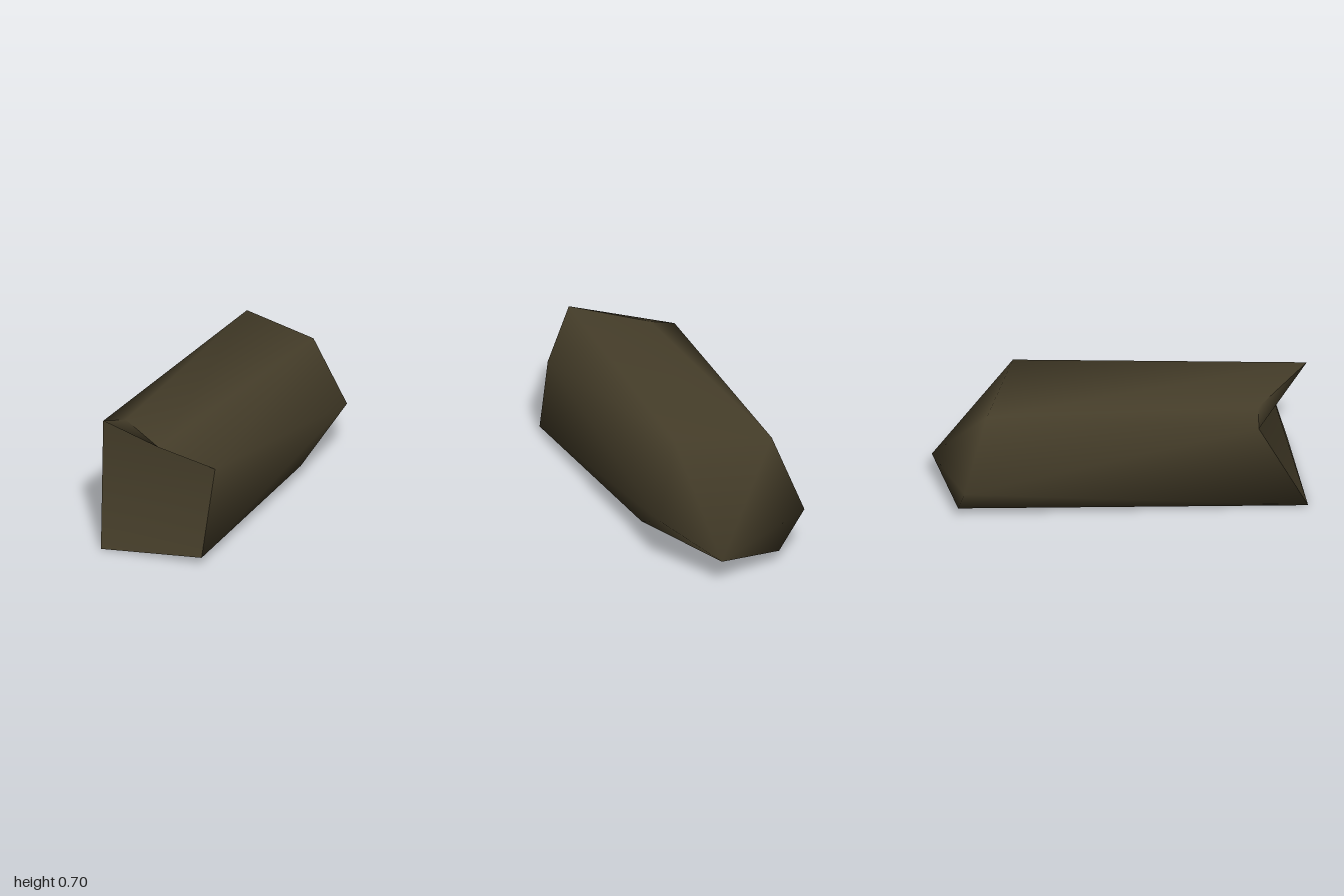
import * as THREE from 'three';

// Corner points: A-F run round the notched front, G-P round the tapered back
const corners = {
  A: [-0.38, 0.615, 0.7], B: [-0.24, 0.655, 0.71], C: [0.1, 0.685, 1.0],
  D: [0.33, 0.515, 0.785], E: [0.315, 0.045, 0.915], F: [-0.255, 0.003, 0.975],
  G: [-0.38, 0.285, -0.875], H: [-0.25, 0.69, -0.745], J: [0.24, 0.705, -0.56],
  K: [0.38, 0.3, -0.68], L: [0.17, 0.165, -1.0], M: [-0.22, 0.08, -0.895],
  P: [0.3, 0.08, -0.29],
};

// Smooth surface from triangles named by their corners
function surface(name, faces, material) {
  const keys = Object.keys(corners);
  const geometry = new THREE.BufferGeometry();
  geometry.setAttribute('position',
    new THREE.Float32BufferAttribute(keys.flatMap((k) => corners[k]), 3));
  geometry.setIndex([...faces.replace(/ /g, '')].map((k) => keys.indexOf(k)));
  geometry.computeVertexNormals();
  const mesh = new THREE.Mesh(geometry, material);
  mesh.name = name;
  return mesh;
}

export function createModel() {
  const group = new THREE.Group();
  group.name = 'splinteredBlock';
  const brown = new THREE.MeshStandardMaterial({ color: 0x463e2a });
  brown.name = 'darkBrown';

  // Long sides flowing into the tapered back end
  const sides = 'ABH AHG BCH CJH CDJ DKJ DEK EPK EFP FMP FAG FGM';
  const back = 'PML KPL JKL HJL GHL MGL';
  group.add(surface('body', sides + ' ' + back, brown));

  // Broken front face with its overhanging tip
  group.add(surface('frontBreak', 'FED FDA ADC ACB', brown));
  return group;
}
